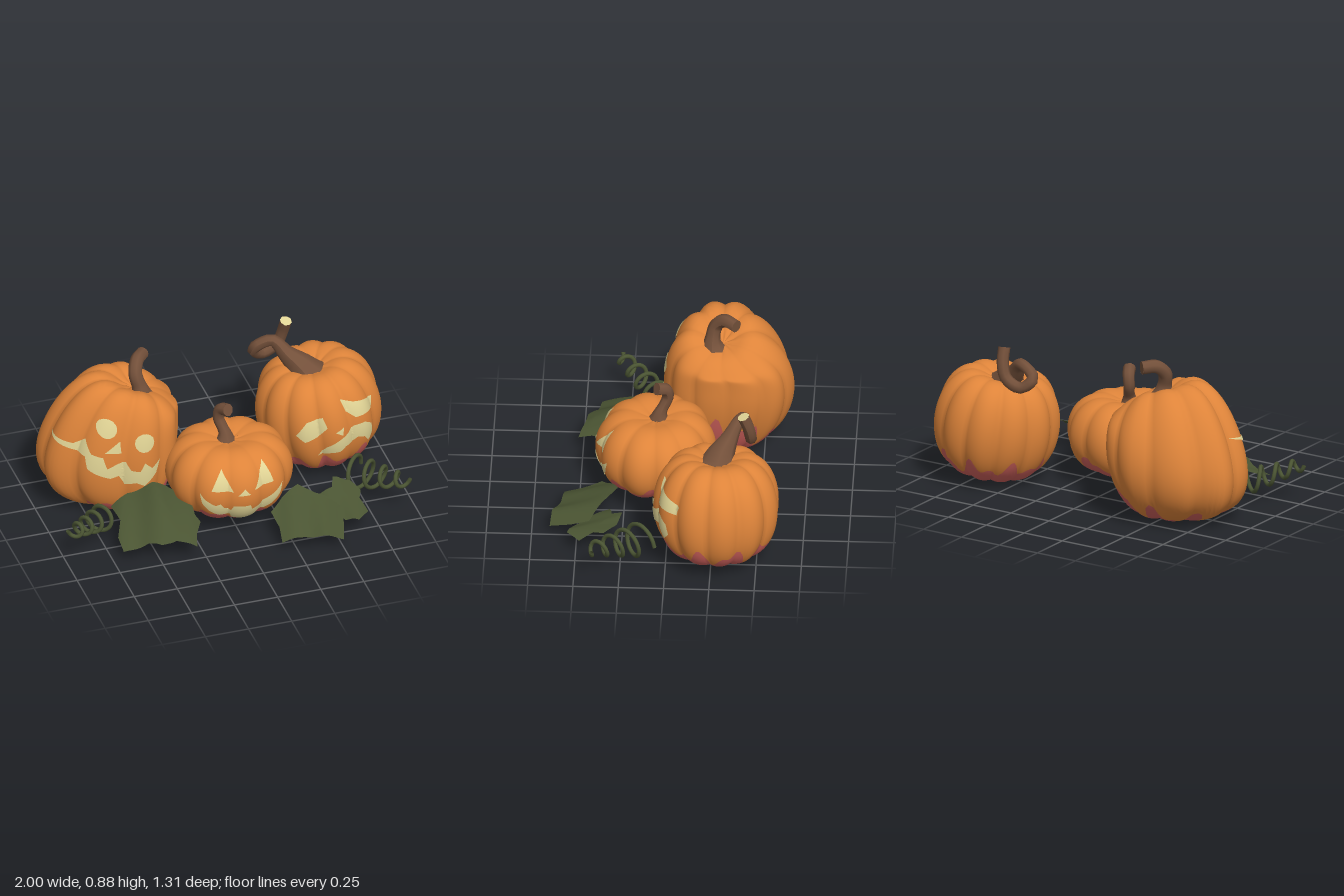
import * as THREE from 'three';
import { mergeVertices } from 'three/addons/utils/BufferGeometryUtils.js';

const mat = (name, color, side = THREE.FrontSide) => {
  const m = new THREE.MeshStandardMaterial({ color, side });
  m.name = name;
  return m;
};
const orange = mat('orange rind', 0xde843a);
const pink = mat('pink drip', 0xcd605b);
const pale = mat('pale flesh', 0xe2d596, THREE.DoubleSide);
const brown = mat('brown stem', 0x73503a, THREE.DoubleSide);
const green = mat('leaf green', 0x4b5533, THREE.DoubleSide);

function addMesh(parent, name, geometry, material) {
  const mesh = new THREE.Mesh(geometry, material);
  mesh.name = name;
  parent.add(mesh);
  return mesh;
}

// Fills an outline with small triangles, then moves every vertex by a rule
function patch(points, levels, place) {
  const flat = new THREE.ShapeGeometry(new THREE.Shape(points.map(p => new THREE.Vector2(...p))));
  const src = flat.toNonIndexed().attributes.position;
  let tris = [];
  for (let i = 0; i < src.count; i += 3) tris.push([0, 1, 2].map(k => [src.getX(i + k), src.getY(i + k)]));
  const mid = (p, q) => [(p[0] + q[0]) / 2, (p[1] + q[1]) / 2];
  for (let n = 0; n < levels; n++) {
    tris = tris.flatMap(([a, b, c]) => {
      const ab = mid(a, b), bc = mid(b, c), ca = mid(c, a);
      return [[a, ab, ca], [ab, b, bc], [ca, bc, c], [ab, bc, ca]];
    });
  }
  const pos = [];
  for (const t of tris) for (const p of t) pos.push(...place(p[0], p[1]).toArray());
  const g = new THREE.BufferGeometry();
  g.setAttribute('position', new THREE.Float32BufferAttribute(pos, 3));
  const merged = mergeVertices(g, 1e-5);
  merged.computeVertexNormals();
  return merged;
}

// Ribbed skin: angle t runs round from the front, v climbs from bottom to top
function skin(ribs, power, warp) {
  return (t, v, grow = 1) => {
    const a = Math.PI * (v - 0.5);
    const r = Math.pow(Math.max(0, Math.cos(a)), power);
    const notch = 0.08 * (0.3 + 0.7 * r) * (1 - Math.pow(Math.abs(Math.cos(ribs * t / 2)), 0.9));
    const dip = (v > 0.5 ? -0.22 : 0.09) * Math.exp(-((r / 0.35) ** 2));
    const y = (Math.sin(a) + dip) * (1 - notch * 0.5) * grow;
    const reach = r * (1 - notch) * grow;
    return warp(Math.sin(t) * reach, y, Math.cos(t) * reach);
  };
}

// Whole rind in one smooth grid; one grid row follows the edge of the pink drip
function rind(surface, ribs, drip) {
  const cols = ribs * 10, low = 10, rows = 38, pos = [], idx = [];
  for (let j = 0; j <= rows; j++) {
    for (let i = 0; i < cols; i++) {
      const t = i / cols * Math.PI * 2;
      const edge = 0.5 + Math.asin(Math.max(-0.97, drip(t))) / Math.PI;
      const v = j <= low ? edge * j / low : edge + (1 - edge) * (j - low) / (rows - low);
      pos.push(...surface(t, v).toArray());
    }
  }
  for (let j = 0; j < rows; j++) {
    for (let i = 0; i < cols; i++) {
      const k = (i + 1) % cols, a = j * cols + i, b = j * cols + k;
      idx.push(a, b, a + cols, b, b + cols, a + cols);
    }
  }
  const g = new THREE.BufferGeometry();
  g.setAttribute('position', new THREE.Float32BufferAttribute(pos, 3));
  g.setIndex(idx);
  g.addGroup(0, low * cols * 6, 0);
  g.addGroup(low * cols * 6, (rows - low) * cols * 6, 1);
  g.computeVertexNormals();
  return g;
}

// Finds the skin coordinates of the front point at x, y
function locate(surface, x, y) {
  let ct = 0, cv = 0.5, st = 1.5, sv = 0.42;
  for (let pass = 0; pass < 6; pass++) {
    let best = Infinity, bt = ct, bv = cv;
    for (let i = -10; i <= 10; i++) for (let j = -10; j <= 10; j++) {
      const t = ct + st * i / 10, v = cv + sv * j / 10, p = surface(t, v);
      const d = (p.x - x) ** 2 + (p.y - y) ** 2;
      if (d < best) { best = d; bt = t; bv = v; }
    }
    ct = bt; cv = bv; st /= 5; sv /= 5;
  }
  return [ct, cv];
}

// Tapered stem along a curve, with a cap at the cut end
function addStem(parent, points, radii, capMaterial) {
  const curve = new THREE.CatmullRomCurve3(points.map(p => new THREE.Vector3(...p)));
  const n = 28, sides = 8, g = new THREE.TubeGeometry(curve, n, 1, sides);
  const pos = g.attributes.position, v = new THREE.Vector3();
  const [base, middle, tip] = radii;
  for (let i = 0; i <= n; i++) {
    const t = i / n, c = curve.getPointAt(t);
    const r = middle + (base - middle) * Math.max(0, 1 - t / 0.4) ** 2 + (tip - middle) * t * t;
    for (let k = 0; k <= sides; k++) {
      const q = i * (sides + 1) + k;
      v.fromBufferAttribute(pos, q).sub(c).multiplyScalar(r).add(c);
      pos.setXYZ(q, v.x, v.y, v.z);
    }
  }
  g.computeVertexNormals();
  addMesh(parent, 'stem', g, brown);
  const cap = addMesh(parent, 'stemTip', new THREE.CircleGeometry(tip, sides), capMaterial);
  cap.position.copy(curve.getPointAt(1));
  cap.lookAt(cap.position.clone().add(curve.getTangentAt(1)));
}

function addPumpkin(parent, { name, ribs, power, warp, drip, face, stem, radii, cap = brown }) {
  const group = new THREE.Group();
  group.name = name;
  const surface = skin(ribs, power, warp);
  addMesh(group, 'rind', rind(surface, ribs, drip), [pink, orange]);
  for (const [part, outline] of Object.entries(face)) {
    const corners = outline.map(p => locate(surface, ...p));
    addMesh(group, part, patch(corners, 4, (t, v) => surface(t, v, 1.012)), pale);
  }
  addStem(group, stem, radii, cap);
  parent.add(group);
}

const disc = (x, y, r) => Array.from({ length: 14 }, (_, i) =>
  [x + r * Math.cos(i * Math.PI / 7), y + r * Math.sin(i * Math.PI / 7)]);
const drips = (t, s) => -0.6 + 0.12 * Math.sin(9 * t + s) + 0.09 * Math.sin(16 * t + 2 * s);

// Springy tendril that tightens towards its tip
function addTendril(parent, name, from, to, r0, r1, turns, hand) {
  const a = new THREE.Vector3(...from), b = new THREE.Vector3(...to);
  const side = b.clone().sub(a).setY(0).normalize().cross(new THREE.Vector3(0, 1, 0));
  const pts = [];
  for (let i = 0; i <= turns * 12; i++) {
    const t = i / (turns * 12), w = t * turns * Math.PI * 2, r = r0 + (r1 - r0) * t;
    const p = a.clone().lerp(b, t).addScaledVector(side, hand * r * Math.cos(w));
    p.y += r * Math.sin(w);
    pts.push(p);
  }
  addMesh(parent, name, new THREE.TubeGeometry(new THREE.CatmullRomCurve3(pts), turns * 24, 0.012, 7), green);
}

// Leaf drawn from above as x, z and bent by a height rule
function addLeaf(parent, name, outline, height) {
  const ripple = (x, z) => 0.008 * Math.cos(x * 32 + z * 9);
  addMesh(parent, name, patch(outline.map(([x, z]) => [x, -z]), 3,
    (x, s) => new THREE.Vector3(x, height(x, -s) + ripple(x, -s), -s)), green);
}

export function createModel() {
  const model = new THREE.Group();
  model.name = 'carvedPumpkins';

  // Small grinning pumpkin
  addPumpkin(model, {
    name: 'smallPumpkin', ribs: 10, power: 0.62,
    warp: (x, y, z) => new THREE.Vector3(0.015 + 0.355 * x, 0.28 + 0.225 * y, 0.085 + 0.333 * z),
    drip: t => drips(t, 1) + 0.05,
    face: {
      rightEye: [[-.174, .33], [-.104, .44], [-.056, .323]],
      leftEye: [[.06, .323], [.126, .452], [.18, .334]],
      nose: [[-.035, .302], [.003, .34], [.035, .302]],
      mouth: [[-.227, .307], [-.206, .275], [-.152, .238], [-.126, .249], [-.104, .217], [-.067, .2],
        [-.056, .233], [.035, .233], [.045, .2], [.094, .211], [.126, .233], [.179, .259], [.238, .307],
        [.222, .238], [.168, .184], [.126, .163], [.088, .168], [.061, .136], [0, .126], [-.056, .131],
        [-.067, .163], [-.126, .163], [-.179, .195], [-.217, .243]],
    },
    stem: [[0, .42, .07], [0, .49, .06], [-.025, .58, .02], [-.015, .635, .03], [.012, .655, .08]],
    radii: [0.085, 0.03, 0.036],
  });

  // Tall pumpkin, bent to one side
  addPumpkin(model, {
    name: 'bentPumpkin', ribs: 10, power: 0.7,
    warp: (x, y, z) => {
      const up = Math.max(0, y) ** 2, down = Math.max(0, -y) ** 2, right = Math.max(0, x);
      return new THREE.Vector3(-0.457 + 0.393 * x - 0.12 * x * x + 0.06 * up - 0.07 * down * right,
        0.372 + 0.39 * y + x * (0.09 * (1 - Math.min(1, y * y)) - 0.17 * up) - 0.1 * up * right,
        -0.3 + 0.36 * z * (1 - 0.06 * x) + 0.05 * up + 0.05 * down);
    },
    drip: t => drips(t, 2) - 0.06 + 0.12 * Math.sin(t) + 0.07 * Math.cos(t),
    face: {
      rightEye: disc(-.655, .6, .053),
      leftEye: disc(-.46, .51, .055),
      nose: [[-.677, .463], [-.59, .527], [-.585, .452]],
      mouth: [[-.86, .505], [-.82, .484], [-.76, .527], [-.745, .452], [-.687, .436], [-.666, .366],
        [-.612, .39], [-.564, .4], [-.537, .345], [-.489, .335], [-.463, .388], [-.42, .345], [-.366, .382],
        [-.393, .302], [-.463, .235], [-.51, .262], [-.57, .25], [-.602, .313], [-.65, .302], [-.709, .325],
        [-.767, .36], [-.773, .43], [-.837, .452]],
    },
    stem: [[-.4, .6, -.22], [-.405, .7, -.21], [-.425, .79, -.23], [-.4, .84, -.28], [-.345, .84, -.345]],
    radii: [0.14, 0.04, 0.036],
  });

  // Frowning pumpkin, tilted, with a looped stem
  const tilt = new THREE.Euler(0, 0, 0.14);
  addPumpkin(model, {
    name: 'frowningPumpkin', ribs: 11, power: 0.62,
    warp: (x, y, z) => new THREE.Vector3(0.35 * x, 0.315 * y, 0.35 * z).applyEuler(tilt)
      .add(new THREE.Vector3(0.65, 0.335, -0.278)),
    drip: t => drips(t, 3) - 0.06 * Math.sin(t),
    face: {
      rightEye: [[.436, .345], [.489, .43], [.575, .457], [.596, .398], [.553, .34], [.479, .307]],
      leftEye: [[.682, .537], [.757, .51], [.89, .468], [.885, .415], [.767, .42], [.709, .468]],
      nose: [[.639, .366], [.69, .388], [.682, .34]],
      mouth: [[.55, .206], [.596, .27], [.66, .313], [.714, .34], [.757, .372], [.82, .377], [.868, .34],
        [.878, .28], [.848, .238], [.82, .28], [.778, .29], [.746, .265], [.703, .26], [.671, .233], [.618, .227]],
    },
    stem: [[.59, .54, -.28], [.55, .6, -.3], [.49, .66, -.34], [.42, .735, -.39], [.32, .68, -.42],
      [.38, .62, -.45], [.47, .66, -.46], [.5, .74, -.45], [.51, .825, -.42]],
    radii: [0.115, 0.033, 0.034], cap: pale,
  });

  // Leaves
  addLeaf(model, 'rightLeaf', [[-.665, .07], [-.56, .04], [-.345, .07], [-.24, .16], [-.255, .31], [-.235, .35],
    [-.29, .45], [-.31, .525], [-.41, .49], [-.5, .48], [-.56, .43], [-.7, .41], [-.7, .31], [-.655, .21]],
  (x, z) => 0.25 - 0.4 * Math.max(0, -0.42 - x) - 0.3 * Math.max(0, x + 0.42) - 0.45 * z * z);
  addLeaf(model, 'leftLeaf', [[.165, .375], [.245, .32], [.35, .28], [.43, .35], [.485, .385], [.55, .43],
    [.535, .535], [.5, .65], [.4, .64], [.295, .595], [.165, .58], [.18, .48]],
  (x, z) => 0.24 - 0.38 * (z - 0.25) - 0.22 * Math.abs(x - 0.4));
  addLeaf(model, 'leftSmallLeaf', [[.43, .32], [.54, .305], [.565, .245], [.655, .275], [.695, .345], [.67, .4],
    [.695, .48], [.62, .55], [.55, .52]],
  (x, z) => 0.21 - 0.36 * (z - 0.25) - 0.3 * Math.abs(x - 0.59));

  // Tendrils
  addTendril(model, 'rightTendril', [-.71, .11, .1], [-.97, .205, .33], .075, .03, 4, 1);
  addTendril(model, 'leftTendril', [.71, .13, .12], [.94, .205, .42], .1, .03, 4, -1);
  return model;
}
